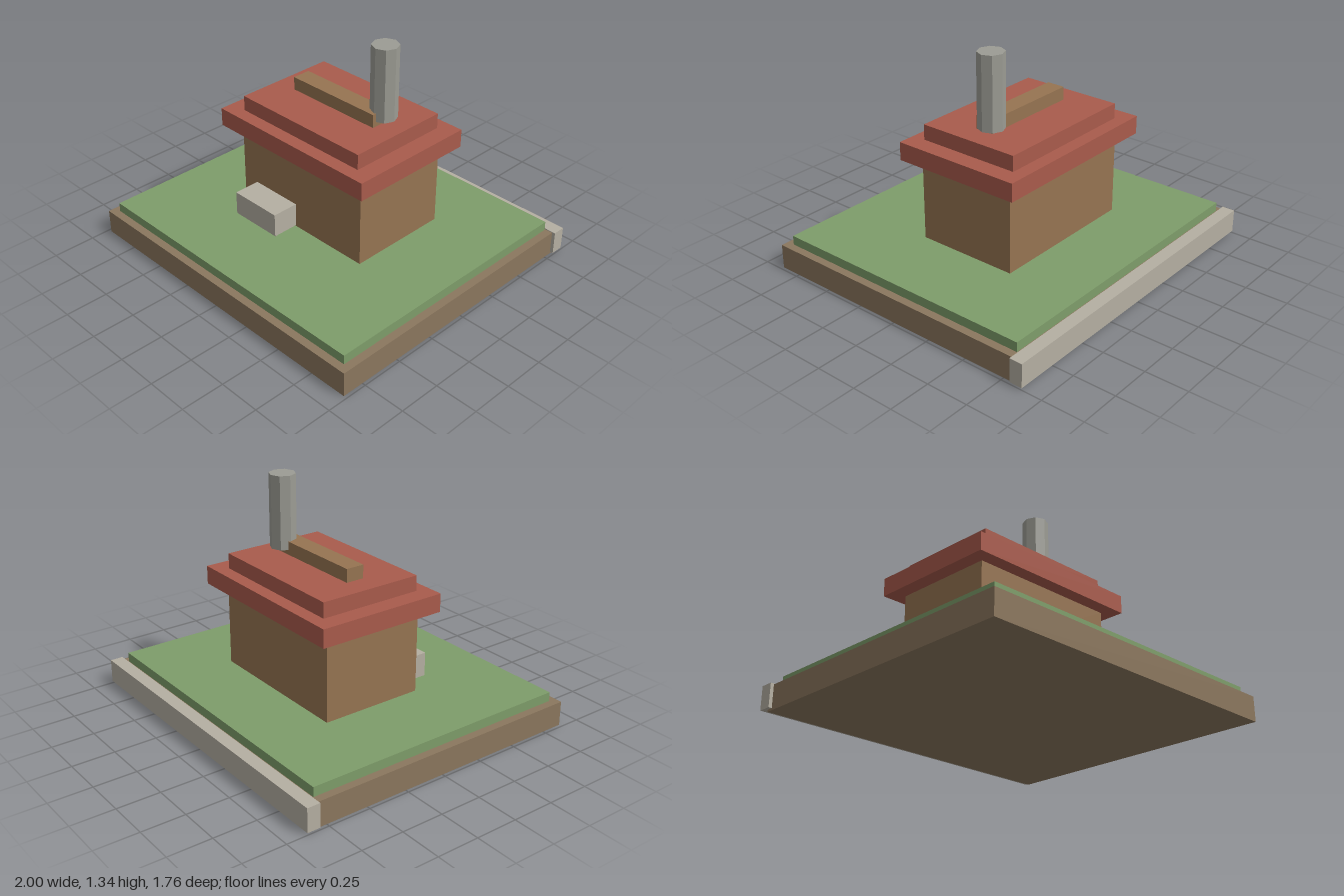
import * as THREE from 'three';

const material = (color) => new THREE.MeshStandardMaterial({ color, flatShading: true });
const soil = material(0x8b775e);
const grass = material(0x7e9d6a);
const wood = material(0x967452);
const tile = material(0xa95b4c);
const stone = material(0xb5afa2);
const flue = material(0x9c9c94);

// Box given by its [min, max] extent on each axis
function box(name, mat, [x0, x1], [y0, y1], [z0, z1]) {
  const mesh = new THREE.Mesh(new THREE.BoxGeometry(x1 - x0, y1 - y0, z1 - z0), mat);
  mesh.name = name;
  mesh.position.set((x0 + x1) / 2, (y0 + y1) / 2, (z0 + z1) / 2);
  return mesh;
}

export function createModel() {
  const model = new THREE.Group();
  model.name = 'cottage';

  // Ground plate, lawn and the low wall along the back edge
  model.add(
    box('groundPlate', soil, [-0.98, 0.98], [0, 0.145], [-0.84, 0.88]),
    box('lawn', grass, [-0.933, 0.933], [0.14, 0.2], [-0.795, 0.833]),
    box('backWall', stone, [-1, 1], [0.012, 0.15], [-0.88, -0.803]),
  );

  // House body with the front step
  model.add(
    box('houseBody', wood, [-0.468, 0.468], [0.2, 0.685], [-0.365, 0.25]),
    box('frontStep', stone, [-0.364, -0.036], [0.207, 0.348], [0.24, 0.41]),
  );

  // Two-tier roof and ridge beam
  model.add(
    box('lowerRoof', tile, [-0.554, 0.554], [0.685, 0.792], [-0.45, 0.333]),
    box('upperRoof', tile, [-0.447, 0.447], [0.792, 0.882], [-0.37, 0.253]),
    box('ridgeBeam', wood, [-0.308, 0.308], [0.882, 0.96], [-0.113, -0.003]),
  );

  // Eight-sided chimney
  const chimney = new THREE.Mesh(new THREE.CylinderGeometry(0.077, 0.077, 0.43, 8), flue);
  chimney.name = 'chimney';
  chimney.position.set(0.297, 1.125, -0.098);
  model.add(chimney);

  return model;
}
